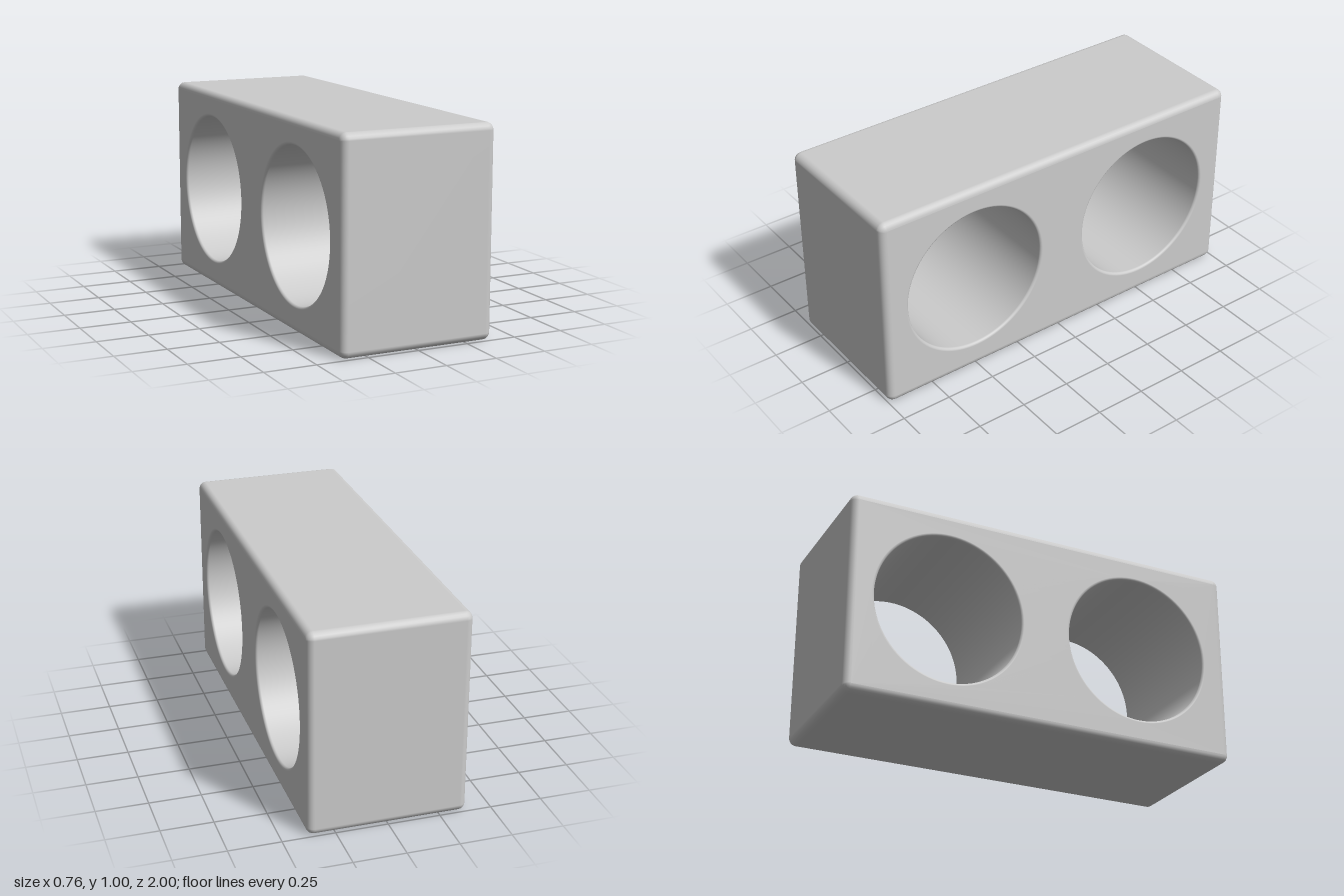
import * as THREE from 'three';
import { mergeVertices } from 'three/addons/utils/BufferGeometryUtils.js';

const WIDTH = 0.76, HEIGHT = 1, LENGTH = 2;
const EDGE = 0.034;          // rounding of the outer edges
const RIM = 0.014;           // smaller rounding of the hole rims
const HOLE_R = 0.372, HOLE_X = 0.5, HOLE_Y = 0.504;

function arcPoints(cx, cy, r, start, sweep, steps) {
  return Array.from({ length: steps }, (_, i) => {
    const a = start + (sweep * i) / steps;
    return new THREE.Vector2(cx + r * Math.cos(a), cy + r * Math.sin(a));
  });
}

function blockGeometry() {
  // Side outline, inset by the edge rounding that the bevel adds back
  const r0 = 0.004, inset = EDGE + r0;
  const x = LENGTH / 2 - inset, top = HEIGHT - inset, bottom = inset;
  const corners = [[x, top], [-x, top], [-x, bottom], [x, bottom]];
  const outline = corners.flatMap(([cx, cy], i) =>
    arcPoints(cx, cy, r0, (i * Math.PI) / 2, Math.PI / 2 * 1.2, 6));
  const shape = new THREE.Shape(outline);

  // Two round through-holes
  for (const s of [-1, 1]) {
    shape.holes.push(new THREE.Path(
      arcPoints(s * HOLE_X, HOLE_Y, HOLE_R + EDGE, 0, -Math.PI * 2, 96)));
  }

  const geo = new THREE.ExtrudeGeometry(shape, {
    depth: WIDTH - 2 * EDGE, bevelEnabled: true,
    bevelSize: EDGE, bevelThickness: EDGE, bevelSegments: 6,
  });
  geo.translate(0, 0, -(WIDTH / 2 - EDGE));

  // Tighten the bevel around the holes to the smaller rim rounding
  const p = geo.attributes.position, k = RIM / EDGE;
  for (let i = 0; i < p.count; i++) {
    const cx = Math.sign(p.getX(i)) * HOLE_X;
    const dx = p.getX(i) - cx, dy = p.getY(i) - HOLE_Y, d = Math.hypot(dx, dy);
    if (d > HOLE_R + EDGE + 0.005) continue;
    const f = (HOLE_R + (d - HOLE_R) * k) / d;
    const z = p.getZ(i), depth = WIDTH / 2 - Math.abs(z);
    p.setXYZ(i, cx + dx * f, HOLE_Y + dy * f, Math.sign(z) * (WIDTH / 2 - depth * k));
  }

  // Share vertices so all rounded edges shade smoothly
  geo.deleteAttribute('normal');
  geo.deleteAttribute('uv');
  const smooth = mergeVertices(geo, 1e-4);
  smooth.computeVertexNormals();
  smooth.rotateY(Math.PI / 2);
  return smooth;
}

export function createModel() {
  const group = new THREE.Group();
  group.name = 'twoHoleBlock';
  const block = new THREE.Mesh(blockGeometry(),
    new THREE.MeshStandardMaterial({ color: 0xcccccc }));
  block.name = 'block';
  group.add(block);
  return group;
}
